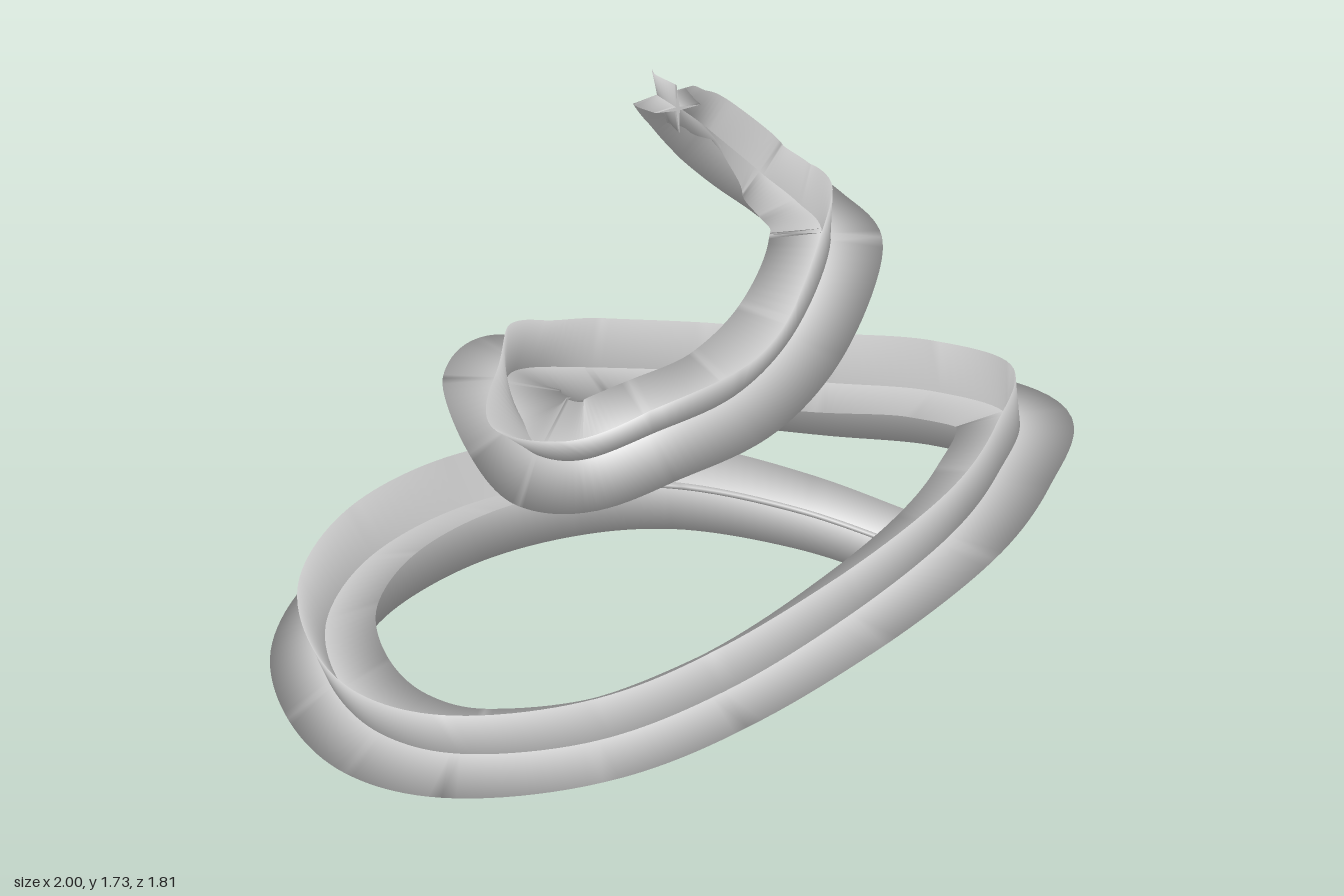
import * as THREE from 'three';

// Centre line of the rising spiral, from the wide foot to the tip
const PATH = [
  // wide lower lap, ending in the right-hand bend
  [0.87, 0.08, -0.28], [0.66, 0.15, -0.49], [0.4, 0.21, -0.66], [0.15, 0.23, -0.75],
  [-0.15, 0.225, -0.77], [-0.45, 0.195, -0.69], [-0.7, 0.17, -0.47], [-0.84, 0.165, -0.15],
  [-0.87, 0.175, 0.15], [-0.8, 0.22, 0.42], [-0.55, 0.3, 0.66], [-0.25, 0.4, 0.75],
  [0.1, 0.53, 0.755], [0.42, 0.63, 0.67], [0.66, 0.66, 0.48], [0.855, 0.665, 0.22],
  // narrower middle lap
  [0.77, 0.65, -0.02], [0.58, 0.63, -0.23], [0.32, 0.65, -0.4], [0.05, 0.69, -0.48],
  [-0.15, 0.745, -0.46], [-0.28, 0.79, -0.33], [-0.38, 0.82, -0.05], [-0.455, 0.87, 0.2],
  [-0.42, 0.915, 0.35], [-0.27, 0.98, 0.42], [-0.05, 1.03, 0.425], [0.17, 1.12, 0.34],
  [0.365, 1.255, 0.16],
  // small curl at the top
  [0.37, 1.28, 0.02], [0.32, 1.33, -0.1], [0.2, 1.45, -0.15], [0.08, 1.57, -0.1],
  [-0.02, 1.665, 0.01], [-0.03, 1.68, 0.12],
];

// Twist of the star in degrees, outwards from upright, as [path point, angle]
const LEAN = [[0, 30], [4, 20], [8, 30], [12, 12], [15, 0], [19, -6], [20, -18], [21, -5],
  [23, 56], [26, 36], [28, 5], [31, -8], [32, -45], [33, -75], [34, -90]];

function leanAt(p) {
  let i = 0;
  while (i < LEAN.length - 2 && p > LEAN[i + 1][0]) i++;
  const [a, va] = LEAN[i], [b, vb] = LEAN[i + 1];
  return THREE.MathUtils.degToRad(va + (vb - va) * THREE.MathUtils.smoothstep(p, a, b));
}

// Fins narrow towards both ends of the spiral
function finWidth(p) {
  const last = PATH.length - 1;
  return Math.min(
    THREE.MathUtils.lerp(0.087, 0.145, THREE.MathUtils.smoothstep(p, 0, 5)),
    THREE.MathUtils.lerp(0.062, 0.145, THREE.MathUtils.smoothstep(last - p, 0, 7)),
  );
}

// One arm of the slim four-pointed star, swept along the path:
// smooth over its tip, sharp in the valleys beside it, closed at both ends
function finGeometry(curve, angle) {
  const steps = 340, valley = 0.11;
  const pos = [], idx = [];
  const up = new THREE.Vector3(0, 1, 0);
  for (let i = 0; i <= steps; i++) {
    const t = i / steps, p = t * (PATH.length - 1);
    const c = curve.getPoint(t), tan = curve.getTangent(t);
    const out = new THREE.Vector3().crossVectors(tan, up).normalize();
    const rise = new THREE.Vector3().crossVectors(out, tan).normalize();
    const ring = [-1, 0, 1].map((side) => {
      const a = angle + side * Math.PI / 4 - leanAt(p);
      const r = finWidth(p) * (side ? valley : 1);
      return c.clone().addScaledVector(out, r * Math.cos(a)).addScaledVector(rise, r * Math.sin(a));
    });
    ring.forEach((v) => pos.push(v.x, v.y, v.z));
    if (i < steps) {
      for (let k = i * 3; k < i * 3 + 2; k++) idx.push(k, k + 3, k + 1, k + 1, k + 3, k + 4);
    }
  }
  // end caps, on their own corners so they stay flat
  for (const end of [0, steps]) {
    const c = curve.getPoint(end / steps), n = pos.length / 3;
    pos.push(c.x, c.y, c.z, ...pos.slice(end * 9, end * 9 + 9));
    if (end) idx.push(n, n + 2, n + 1, n, n + 3, n + 2);
    else idx.push(n, n + 1, n + 2, n, n + 2, n + 3);
  }
  const g = new THREE.BufferGeometry();
  g.setAttribute('position', new THREE.Float32BufferAttribute(pos, 3));
  g.setIndex(idx);
  g.computeVertexNormals();
  return g;
}

export function createModel() {
  const group = new THREE.Group();
  group.name = 'finnedSpiral';
  const material = new THREE.MeshStandardMaterial({ color: 0xcccccc });
  const curve = new THREE.CatmullRomCurve3(PATH.map((p) => new THREE.Vector3(...p)));

  // Four fins in a cross follow the whole path
  ['outerFin', 'upperFin', 'innerFin', 'lowerFin'].forEach((name, i) => {
    const fin = new THREE.Mesh(finGeometry(curve, i * Math.PI / 2), material);
    fin.name = name;
    group.add(fin);
  });
  return group;
}
